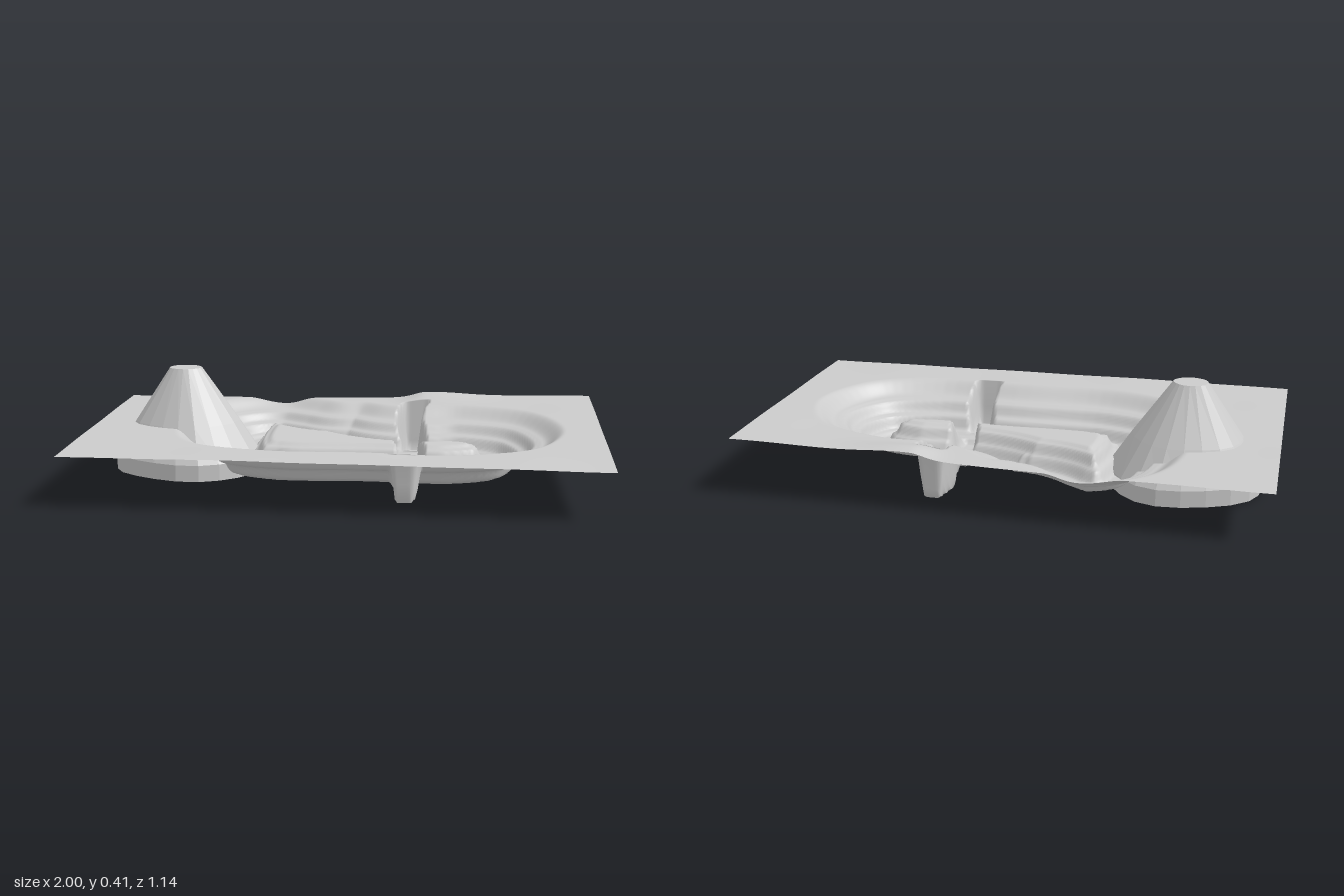
import * as THREE from 'three';

const { smoothstep, lerp, clamp } = THREE.MathUtils;

// Rim of the pit as [x, z]: straight front, round right end, lobes along the back
const RIM = [[-0.3, 0.4], [0.1, 0.4], [0.46, 0.4], [0.74, 0.285], [0.86, 0], [0.74, -0.285], [0.46, -0.4],
  [0.25, -0.39], [0.14, -0.42], [0.04, -0.49], [-0.06, -0.495], [-0.14, -0.545], [-0.29, -0.615],
  [-0.46, -0.58], [-0.6, -0.46], [-0.665, -0.26], [-0.665, 0.08], [-0.56, 0.3]];
const rimCurve = new THREE.CatmullRomCurve3(RIM.map(([x, z]) => new THREE.Vector3(x, 0, z)), true);
const rim = rimCurve.getPoints(120);

// Signed distance to the rim, positive inside
function rimDepth(x, z) {
  let best = Infinity, inside = false;
  for (let i = 1; i < rim.length; i++) {
    const a = rim[i - 1], b = rim[i];
    const dx = b.x - a.x, dz = b.z - a.z;
    const t = clamp(((x - a.x) * dx + (z - a.z) * dz) / (dx * dx + dz * dz), 0, 1);
    best = Math.min(best, Math.hypot(x - a.x - t * dx, z - a.z - t * dz));
    if ((a.z > z) !== (b.z > z) && x < a.x + dx * (z - a.z) / dz) inside = !inside;
  }
  return inside ? best : -best;
}

// Piecewise profile lookup: points are [distance, value]
function profile(points, d) {
  if (d <= points[0][0]) return points[0][1];
  for (let i = 1; i < points.length; i++) {
    const [d0, v0] = points[i - 1], [d1, v1] = points[i];
    if (d <= d1) return lerp(v0, v1, smoothstep(d, d0, d1));
  }
  return points[points.length - 1][1];
}

// Fraction of the full depth against distance from the rim
const PIT_STEPS = [[0, 0], [0.085, 0.32], [0.115, 0.36], [0.15, 0.6],
  [0.175, 0.64], [0.2, 0.9], [0.215, 0.92], [0.235, 1]];
// Height against distance from the foot of the island
const ISLAND_STEPS = [[0, 0], [0.03, 0.045], [0.042, 0.05], [0.065, 0.09],
  [0.08, 0.093], [0.1, 0.105]];

// Natural ground, rising to the back on the +x side
function ground(x, z) {
  const right = smoothstep(x, -0.4, 1), back = (0.57 - z) / 1.14;
  const spread = x < 0.3 ? 0.07 : 0.2;
  const bump = 0.026 * Math.exp(-(((x - 0.3) / spread) ** 2) - ((z + 0.53) / 0.08) ** 2);
  return 0.19 + 0.005 * (1 - right) + 0.038 * right * back - 0.005 * right * (1 - back)
    + bump + 0.0015 * Math.sin(9 * x + 4 * z) * Math.sin(7 * z - 3 * x);
}

function height(x, z) {
  // Terraced pit
  const depth = rimDepth(x, z);
  const floor = 0.018 + 0.1 * clamp(0.2 - z, 0, 0.45);
  let y = lerp(ground(x, z), floor, profile(PIT_STEPS, depth));

  // Stepped island parallel to the rim, squared off at its -x end
  const squareEnd = Math.min(x + 0.38, -x, z + 0.2, 0.12 - z);
  y += profile(ISLAND_STEPS, Math.max(depth - 0.28, squareEnd));

  // Winding cross trench cut to the base, interrupted by the channel round the island
  const mid = 0.25 + 0.012 * Math.sin(z * 24);
  const across = 1 - smoothstep(Math.abs(x - mid), 0.028, 0.057);
  const along = smoothstep(z, -0.452, -0.44) * (1 - smoothstep(z, 0.393, 0.405));
  const channel = smoothstep(depth, 0.2, 0.22) * (1 - smoothstep(depth, 0.265, 0.28));
  return lerp(y, Math.min(y, 0.004), across * along * (1 - channel));
}

function makeTerrain(material) {
  const geo = new THREE.PlaneGeometry(2, 1.14, 220, 126).rotateX(-Math.PI / 2);
  const p = geo.attributes.position;
  for (let i = 0; i < p.count; i++) p.setY(i, height(p.getX(i), p.getZ(i)));
  geo.computeVertexNormals();
  const mesh = new THREE.Mesh(geo, material);
  mesh.name = 'terracedPit';
  return mesh;
}

// Faceted truncated cone with a short upright foot, broader towards the pit
function makeMound(material) {
  const outline = [[0, 0], [0.295, 0], [0.295, 0.065], [0.21, 0.2], [0.065, 0.413], [0, 0.413]];
  const geo = new THREE.LatheGeometry(outline.map(([r, y]) => new THREE.Vector2(r, y)), 20);
  const p = geo.attributes.position;
  for (let i = 0; i < p.count; i++) {
    const x = p.getX(i), z = p.getZ(i), a = Math.atan2(z, x);
    const wobble = 1 + 0.02 * Math.sin(a * 5 + 1) + 0.02 * Math.cos(a * 3);
    p.setX(i, x * wobble);
    p.setZ(i, z * wobble * (0.8 + 0.6 * x));
  }
  const mesh = new THREE.Mesh(geo, material);
  mesh.name = 'spoilMound';
  mesh.position.set(-0.653, 0, -0.083);
  return mesh;
}

export function createModel() {
  const group = new THREE.Group();
  group.name = 'quarry';
  group.add(
    makeTerrain(new THREE.MeshStandardMaterial({ color: 0xcccccc, side: THREE.DoubleSide })),
    makeMound(new THREE.MeshStandardMaterial({ color: 0xcccccc, flatShading: true })));
  return group;
}
